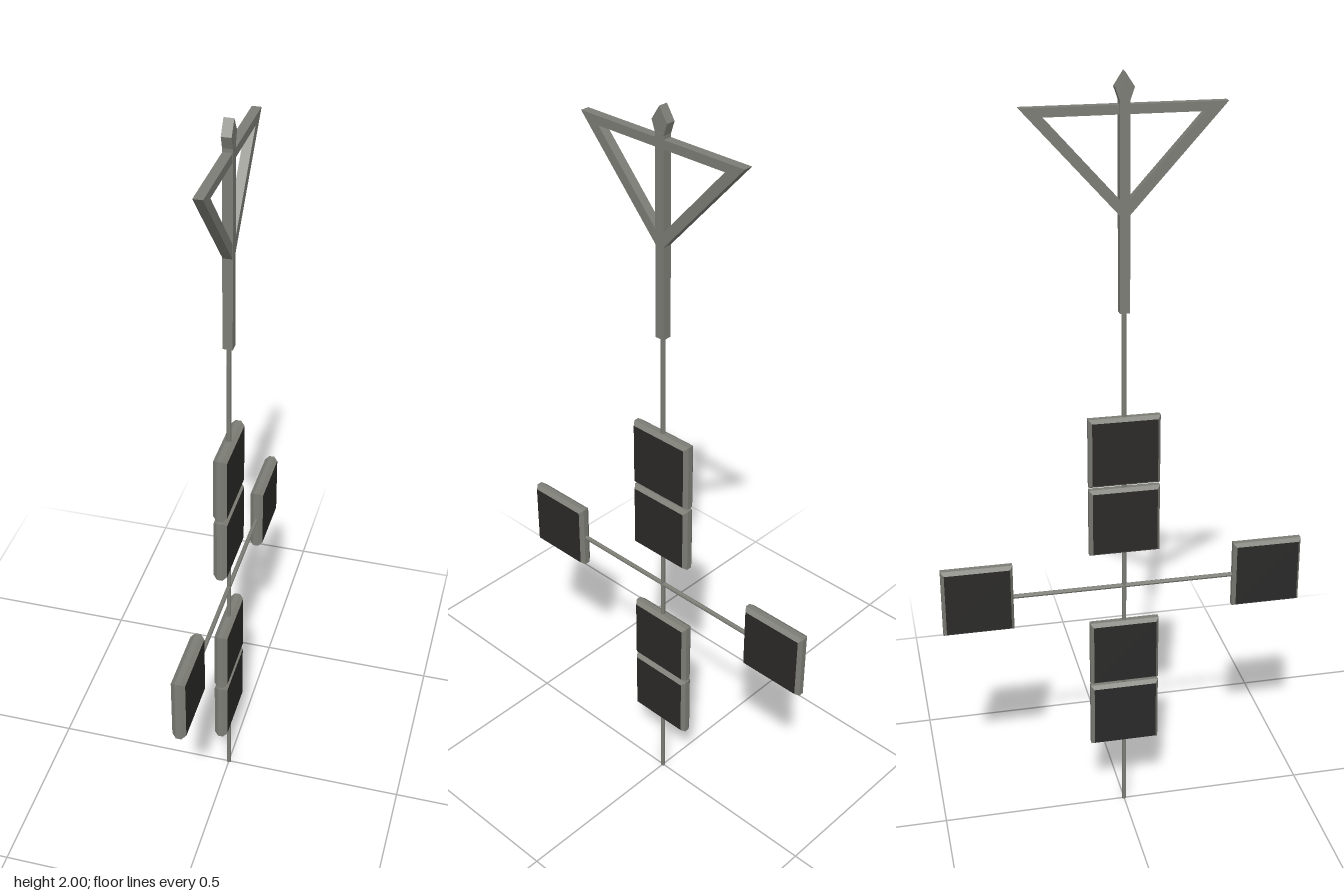
import * as THREE from 'three';

export function createModel() {
  const root = new THREE.Group();
  const metal = new THREE.MeshStandardMaterial({ color: 0x7d7d76, flatShading: true });
  const dark = new THREE.MeshStandardMaterial({ color: 0x2b2a29, flatShading: true });

  function add(name, geometry, material, y = 0, z = 0) {
    const mesh = new THREE.Mesh(geometry, material);
    mesh.name = name;
    mesh.position.set(0, y, z);
    root.add(mesh);
    return mesh;
  }

  // Outline given as [z, y] pairs, extruded symmetrically along x
  const points = (list) => list.map(([a, b]) => new THREE.Vector2(a, b));
  function slab(outline, depth, hole, bevel = {}) {
    const shape = new THREE.Shape(points(outline));
    if (hole) shape.holes.push(new THREE.Path(points(hole)));
    const geometry = new THREE.ExtrudeGeometry(shape, { depth, bevelEnabled: false, ...bevel });
    return geometry.translate(0, 0, -depth / 2).rotateY(-Math.PI / 2);
  }

  // Thin upright rod and crossbar
  add('rod', new THREE.CylinderGeometry(0.006, 0.006, 1.45, 8), metal, 0.725);
  add('crossbar', new THREE.CylinderGeometry(0.006, 0.006, 0.62, 8).rotateX(Math.PI / 2), metal, 0.68);

  // Chamfered panels: dark faces, metal rims
  const h = 0.0845;
  const panel = slab([[-h, -h], [h, -h], [h, h], [-h, h]], 0.014, null,
    { bevelEnabled: true, bevelSize: 0.008, bevelThickness: 0.011, bevelSegments: 1 });
  for (const y of [0.293, 0.485, 0.873, 1.066]) add('stackedPanel', panel, [dark, metal], y);
  for (const side of [-1, 1]) add('sidePanel', panel, [dark, metal], 0.682, side * 0.386);

  // Square mast
  add('mast', new THREE.BoxGeometry(0.025, 0.51, 0.025), metal, 1.685);

  // Open triangular frame, point down
  add('triangleFrame', slab(
    [[-0.245, 1.926], [0, 1.656], [0.245, 1.926]], 0.023,
    [[-0.19, 1.904], [0.19, 1.904], [0, 1.694]]), metal);

  // Pointed finial
  add('finial', slab(
    [[-0.0125, 1.935], [0.0125, 1.935], [0.023, 1.965], [0, 2], [-0.023, 1.965]], 0.024), metal);

  return root;
}
